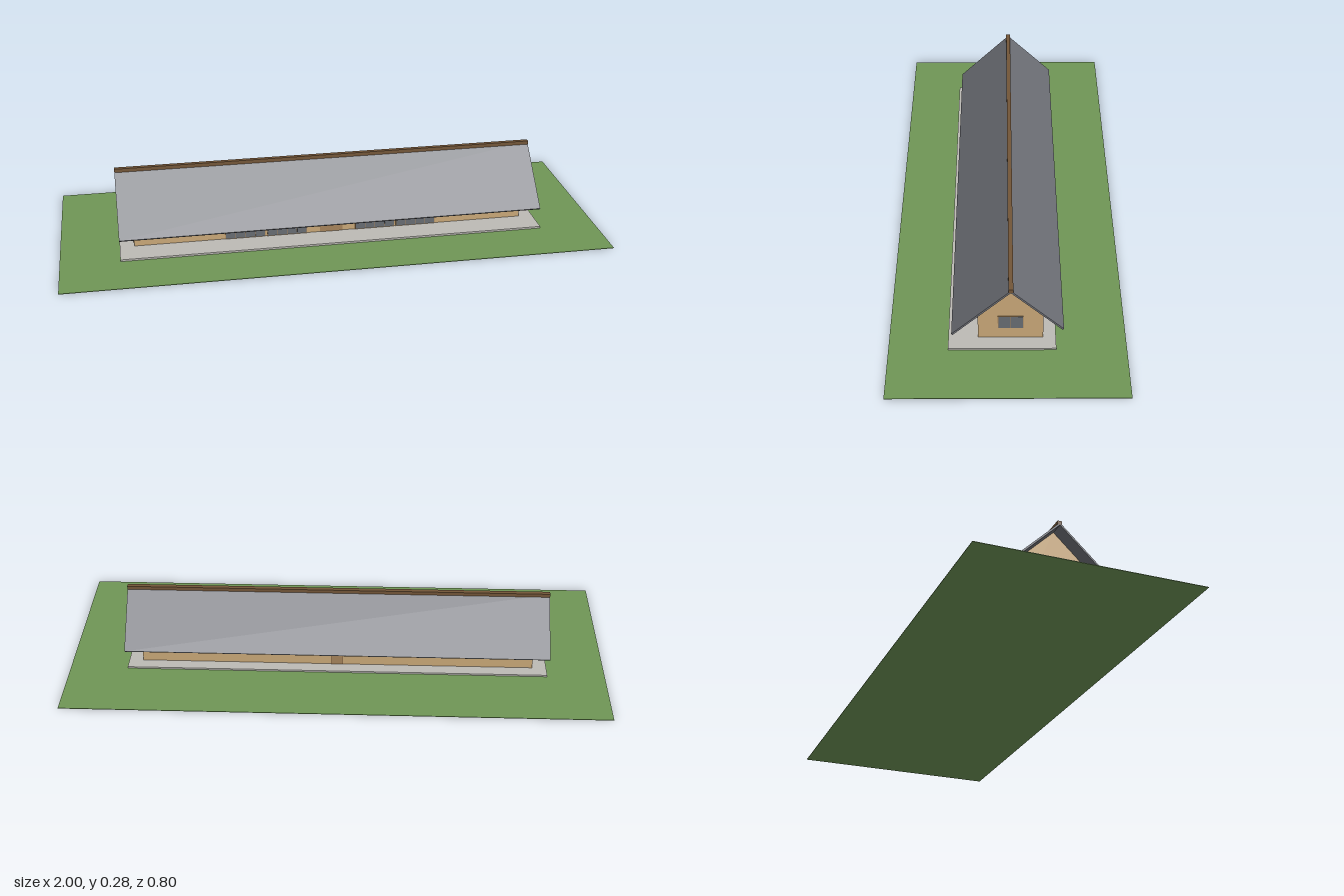
import * as THREE from 'three';

const flat = (name, color) => {
  const m = new THREE.MeshStandardMaterial({ color });
  m.name = name;
  return m;
};

export function createModel() {
  const house = new THREE.Group();
  house.name = 'longHouse';

  const grass = flat('grass', 0x6f9656);
  const concrete = flat('concrete', 0xbdbab5);
  const timber = flat('timberWall', 0xc9a878);
  const roofGrey = flat('roofGrey', 0x6e7077);
  const glass = flat('glass', 0x676c72);
  const doorWood = flat('doorWood', 0xa5835a);
  const darkWood = flat('darkWood', 0x735638);

  // Box given by its minimum and maximum corners
  const box = (name, mat, [x0, y0, z0], [x1, y1, z1], parent = house) => {
    const mesh = new THREE.Mesh(new THREE.BoxGeometry(x1 - x0, y1 - y0, z1 - z0), mat);
    mesh.position.set((x0 + x1) / 2, (y0 + y1) / 2, (z0 + z1) / 2);
    mesh.name = name;
    parent.add(mesh);
    return mesh;
  };

  // Profile of [z, y] points swept along x
  const sweep = (name, mat, points, x0, x1) => {
    const shape = new THREE.Shape(points.map(([z, y]) => new THREE.Vector2(-z, y)));
    const geo = new THREE.ExtrudeGeometry(shape, { depth: x1 - x0, bevelEnabled: false });
    geo.rotateY(Math.PI / 2);
    geo.translate(x0, 0, 0);
    const mesh = new THREE.Mesh(geo, mat);
    mesh.name = name;
    house.add(mesh);
  };

  // Ground and terrace
  box('lawn', grass, [-1, 0, -0.4], [1, 0.002, 0.4]);
  box('terrace', concrete, [-0.785, 0.002, -0.163], [0.785, 0.009, 0.2]);

  // Gabled body
  const floor = 0.009, front = 0.1, back = -0.12, ridge = -0.01;
  const wallX = 0.732;
  sweep('walls', timber,
    [[front, floor], [front, 0.156], [ridge, 0.263], [back, 0.156], [back, floor]], -wallX, wallX);

  // Roof slopes, the front one reaching lower, and the ridge beam
  const roofX = 0.785;
  sweep('frontRoof', roofGrey,
    [[ridge, 0.270], [ridge, 0.261], [0.183, 0.073], [0.187, 0.078]], -roofX, roofX);
  sweep('backRoof', roofGrey,
    [[ridge, 0.270], [ridge, 0.261], [-0.182, 0.095], [-0.186, 0.100]], -roofX, roofX);
  box('ridgeBeam', darkWood, [-roofX, 0.262, ridge - 0.008], [roofX, 0.276, ridge + 0.008]);

  // Opening on a wall: thin frame plate, panes in front of it.
  // The group's local +z points out of the wall.
  const opening = (name, width, y0, y1, panes, paneMat, frameMat, x, z, turn) => {
    const g = new THREE.Group();
    g.name = name;
    const edge = 0.002;
    box('frame', frameMat, [-width / 2, y0, -0.001], [width / 2, y1, 0.002], g);
    const step = (width - edge) / panes;
    for (let i = 0; i < panes; i++) {
      const left = -width / 2 + edge + i * step;
      box('pane', paneMat, [left, y0 + edge, 0.001], [left + step - edge, y1 - edge, 0.003], g);
    }
    g.position.set(x, 0, z);
    g.rotation.y = turn;
    house.add(g);
  };
  const sill = 0.053, head = 0.108;

  // Front: small windows, glazed walls and the main door
  for (const s of [-1, 1]) {
    for (const x of [0.485, 0.647]) {
      opening('frontWindow', 0.084, sill, head, 2, glass, doorWood, s * x, front, 0);
    }
    for (const x of [0.167, 0.323]) {
      opening('glazedWall', 0.15, floor, head, 4, glass, doorWood, s * x, front, 0);
    }
  }
  opening('frontDoor', 0.085, floor, head, 2, doorWood, doorWood, 0, front, 0);

  // Back: high windows and a door
  for (const s of [-1, 1]) {
    for (const x of [0.2, 0.42, 0.62]) {
      opening('backWindow', 0.084, sill, head, 2, glass, doorWood, s * x, back, Math.PI);
    }
  }
  opening('backDoor', 0.045, floor, head, 1, doorWood, darkWood, 0, back, Math.PI);

  // Gable ends
  opening('gableWindow', 0.086, sill, head, 2, glass, doorWood, wallX, ridge, Math.PI / 2);
  opening('gableWindow', 0.086, sill, head, 2, glass, doorWood, -wallX, -0.055, -Math.PI / 2);
  opening('gableDoor', 0.05, floor, head, 1, doorWood, darkWood, -wallX, 0.048, -Math.PI / 2);

  return house;
}
